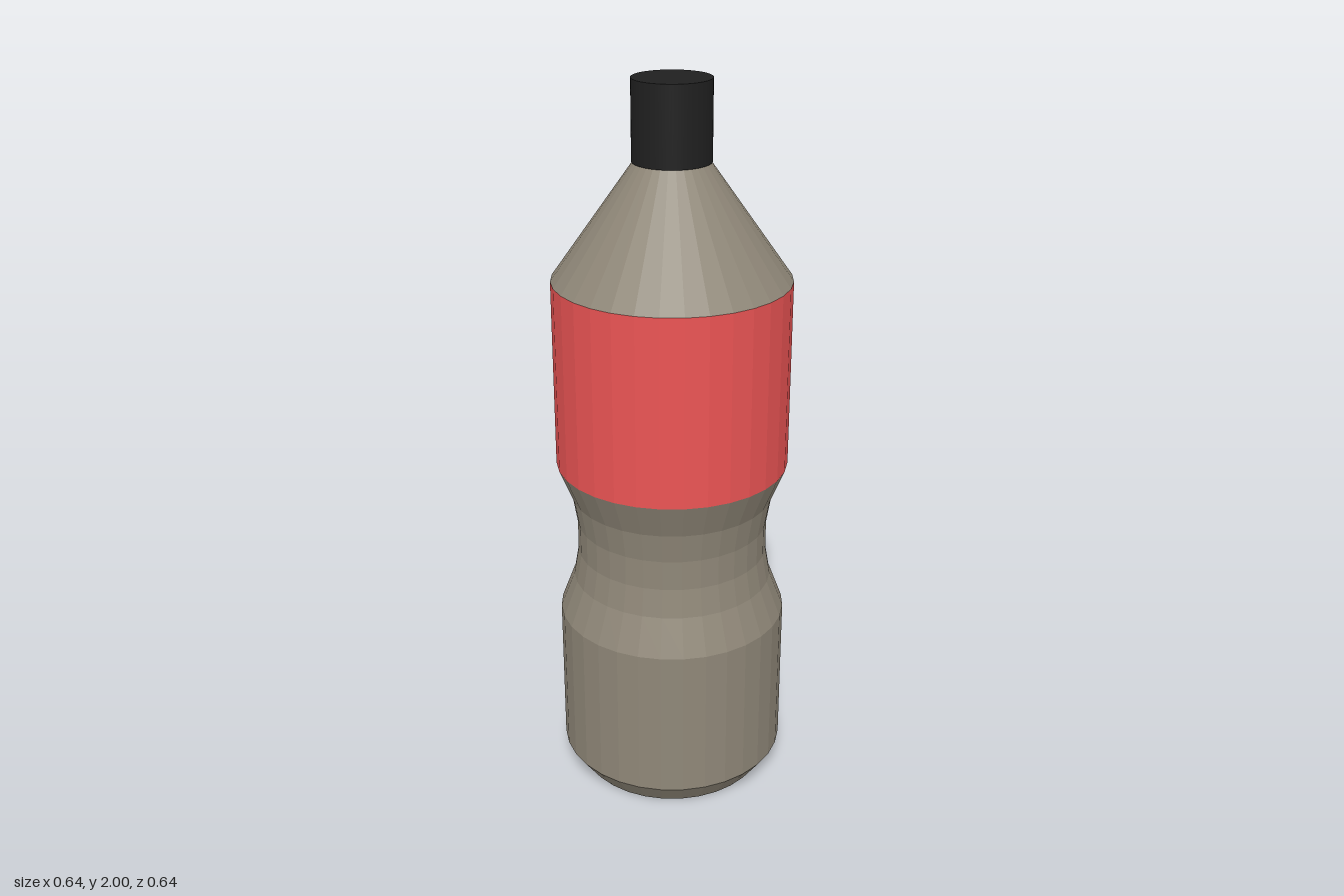
import * as THREE from 'three';

const SIDES = 32;

// Faceted surface of revolution from [radius, height] points, listed bottom to top
function turned(name, points, material) {
  const profile = points.map(([r, y]) => new THREE.Vector2(r, y));
  const mesh = new THREE.Mesh(new THREE.LatheGeometry(profile, SIDES), material);
  mesh.name = name;
  return mesh;
}

export function createModel() {
  const model = new THREE.Group();
  model.name = 'bottle';
  const glass = new THREE.MeshStandardMaterial({ color: 0x8f8778, flatShading: true });
  const red = new THREE.MeshStandardMaterial({ color: 0xeb5454, flatShading: true });
  const black = new THREE.MeshStandardMaterial({ color: 0x202020 });

  // Foot with a recessed underside and a bevelled edge
  model.add(turned('base', [[0, 0.04], [0.235, 0.04], [0.235, 0], [0.27, 0], [0.32, 0.07]], glass));

  // Lower body and pinched waist
  model.add(turned('body', [
    [0.32, 0.07], [0.32, 0.505], [0.28, 0.61], [0.266, 0.69],
    [0.266, 0.775], [0.28, 0.86], [0.32, 0.96],
  ], glass));

  // Coloured band
  model.add(turned('label', [[0.32, 0.96], [0.32, 1.48]], red));

  // Conical shoulder
  model.add(turned('shoulder', [[0.32, 1.48], [0.1, 1.79]], glass));

  // Cap
  const cap = new THREE.Mesh(new THREE.CylinderGeometry(0.104, 0.104, 0.21, 64), black);
  cap.name = 'cap';
  cap.position.y = 1.895;
  model.add(cap);

  return model;
}
